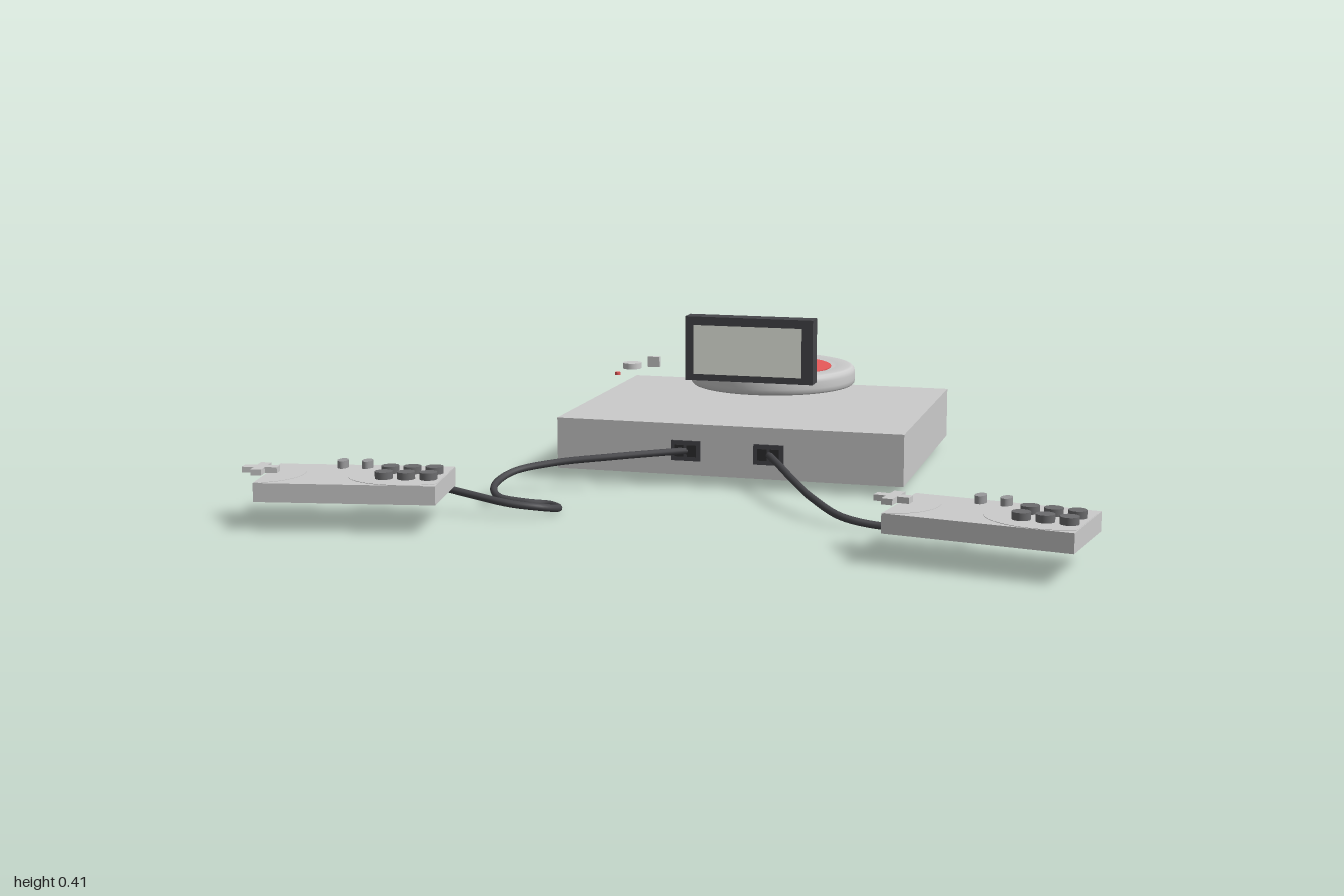
import * as THREE from 'three';

const mat = (color) => new THREE.MeshStandardMaterial({ color });
const grey = mat(0xcccccc);
const dark = mat(0x46464a);
const black = mat(0x2c2c2e);
const red = mat(0xe85a5a);
const buttonGrey = mat(0x6c6c6e);
const screenWhite = new THREE.MeshStandardMaterial({ color: 0xf0f2e8, side: THREE.DoubleSide });

function add(parent, name, geometry, material, x = 0, y = 0, z = 0) {
  const mesh = new THREE.Mesh(geometry, material);
  mesh.name = name;
  mesh.position.set(x, y, z);
  parent.add(mesh);
  return mesh;
}
const box = (w, h, d) => new THREE.BoxGeometry(w, h, d);
const disc = (r, h, n = 32) => new THREE.CylinderGeometry(r, r, h, n);

// Flat outline in x/z, extruded upwards
function plate(shape, height) {
  const g = new THREE.ExtrudeGeometry(shape, { depth: height, bevelEnabled: false, curveSegments: 24 });
  return g.rotateX(-Math.PI / 2);
}

// Ellipse cut off by the controller's end and long sides
function clippedEllipse(cx, rx, rz) {
  const pts = [];
  for (let i = 0; i < 48; i++) {
    const a = (i / 48) * Math.PI * 2;
    pts.push(new THREE.Vector2(
      THREE.MathUtils.clamp(cx + rx * Math.cos(a), -0.213, 0.213),
      THREE.MathUtils.clamp(rz * Math.sin(a), -0.109, 0.109)));
  }
  return new THREE.Shape(pts);
}

function makeController(name) {
  const g = new THREE.Group();
  g.name = name;
  add(g, 'controllerBody', box(0.429, 0.045, 0.222), grey, 0, 0.0925, 0);
  add(g, 'buttonPlate', plate(clippedEllipse(0.125, 0.141, 0.109), 0.001), grey, 0, 0.115, 0);
  add(g, 'padPlate', plate(clippedEllipse(-0.222, 0.1, 0.109), 0.001), grey, 0, 0.115, 0);

  // Cross-shaped direction pad
  const a = 0.042, b = 0.013;
  const cross = new THREE.Shape([
    [a, -b], [a, b], [b, b], [b, a], [-b, a], [-b, b],
    [-a, b], [-a, -b], [-b, -b], [-b, -a], [b, -a], [b, -b],
  ].map(([x, y]) => new THREE.Vector2(x, y)));
  add(g, 'directionPad', plate(cross, 0.014), grey, -0.228, 0.118, 0);

  // Two rows of three action buttons
  for (const z of [-0.028, 0.037]) {
    for (const x of [0.077, 0.13, 0.183]) {
      add(g, 'actionButton', disc(0.021, 0.02, 24), buttonGrey, x, 0.123, z);
    }
  }
  // Oval menu buttons
  for (const x of [-0.052, 0.008]) {
    add(g, 'menuButton', disc(0.02, 0.018, 24), mat(0x98989a), x, 0.124, -0.082).scale.x = 0.65;
  }
  return g;
}

function makeCable(parent, name, points) {
  const curve = new THREE.CatmullRomCurve3(points.map((p) => new THREE.Vector3(...p)));
  add(parent, name, new THREE.TubeGeometry(curve, 120, 0.009, 10), dark);
}

export function createModel() {
  const model = new THREE.Group();
  model.name = 'gameConsole';

  // Main case
  add(model, 'consoleBody', box(0.91, 0.133, 0.695), grey, 0.015, 0.0935, -0.3475);

  // Round disc lid with softened rim and a shallow recess
  const lid = new THREE.Group();
  lid.name = 'discLid';
  lid.position.set(0.013, 0, -0.511);
  model.add(lid);
  const profile = [
    [0, 0.19], [0.22, 0.19], [0.225, 0.195], [0.226, 0.205], [0.226, 0.222], [0.224, 0.232],
    [0.218, 0.238], [0.21, 0.24], [0.175, 0.24], [0.17, 0.235], [0, 0.235],
  ].map(([x, y]) => new THREE.Vector2(x, y));
  add(lid, 'lidRing', new THREE.LatheGeometry(profile, 64), grey);
  add(lid, 'lidCentre', disc(0.16, 0.004, 64), red, 0, 0.236, 0);
  add(lid, 'lidSlot', box(0.15, 0.005, 0.03), dark, 0, 0.2375, -0.001);

  // Upright display
  add(model, 'displayHousing', box(0.345, 0.17, 0.05), dark, 0.0165, 0.321, -0.243);
  add(model, 'displayScreen', new THREE.PlaneGeometry(0.29, 0.13), screenWhite, 0.0165, 0.321, -0.2);

  // Small controls on the top left
  add(model, 'powerButton', disc(0.026, 0.016), grey, -0.388, 0.224, -0.485);
  add(model, 'rearSwitch', box(0.036, 0.03, 0.014), grey, -0.388, 0.202, -0.697);
  add(model, 'indicatorLight', disc(0.007, 0.008, 16), red, -0.388, 0.222, -0.353);

  // Controller sockets
  for (const x of [-0.093, 0.124]) {
    add(model, 'socket', box(0.077, 0.052, 0.01), dark, x, 0.091, 0.001);
    for (const side of [-1, 1]) {
      add(model, 'socketOpening', box(0.024, 0.03, 0.003), black, x + side * 0.016, 0.091, 0.006);
    }
  }

  // Controllers, turned outwards
  const right = makeController('rightController');
  right.position.set(-0.735, 0, 0.591);
  right.rotation.y = 0.176;
  const left = makeController('leftController');
  left.position.set(0.767, 0, 0.591);
  left.rotation.y = -0.176;
  model.add(right, left);

  // Cables
  makeCable(model, 'rightCable', [
    [-0.09, 0.091, 0], [-0.265, 0.083, 0.09], [-0.4, 0.073, 0.155], [-0.48, 0.06, 0.22],
    [-0.5, 0.04, 0.3], [-0.468, 0.025, 0.353], [-0.4, 0.016, 0.353], [-0.34, 0.01, 0.337],
    [-0.307, 0.011, 0.374], [-0.33, 0.025, 0.433], [-0.4, 0.036, 0.46], [-0.505, 0.052, 0.455],
    [-0.64, 0.075, 0.446], [-0.735, 0.095, 0.455],
  ]);
  makeCable(model, 'leftCable', [
    [0.124, 0.091, 0], [0.174, 0.081, 0.085], [0.23, 0.068, 0.18], [0.297, 0.049, 0.27],
    [0.39, 0.024, 0.347], [0.51, 0.011, 0.358], [0.617, 0.03, 0.39], [0.71, 0.064, 0.43],
    [0.767, 0.095, 0.455],
  ]);
  return model;
}
